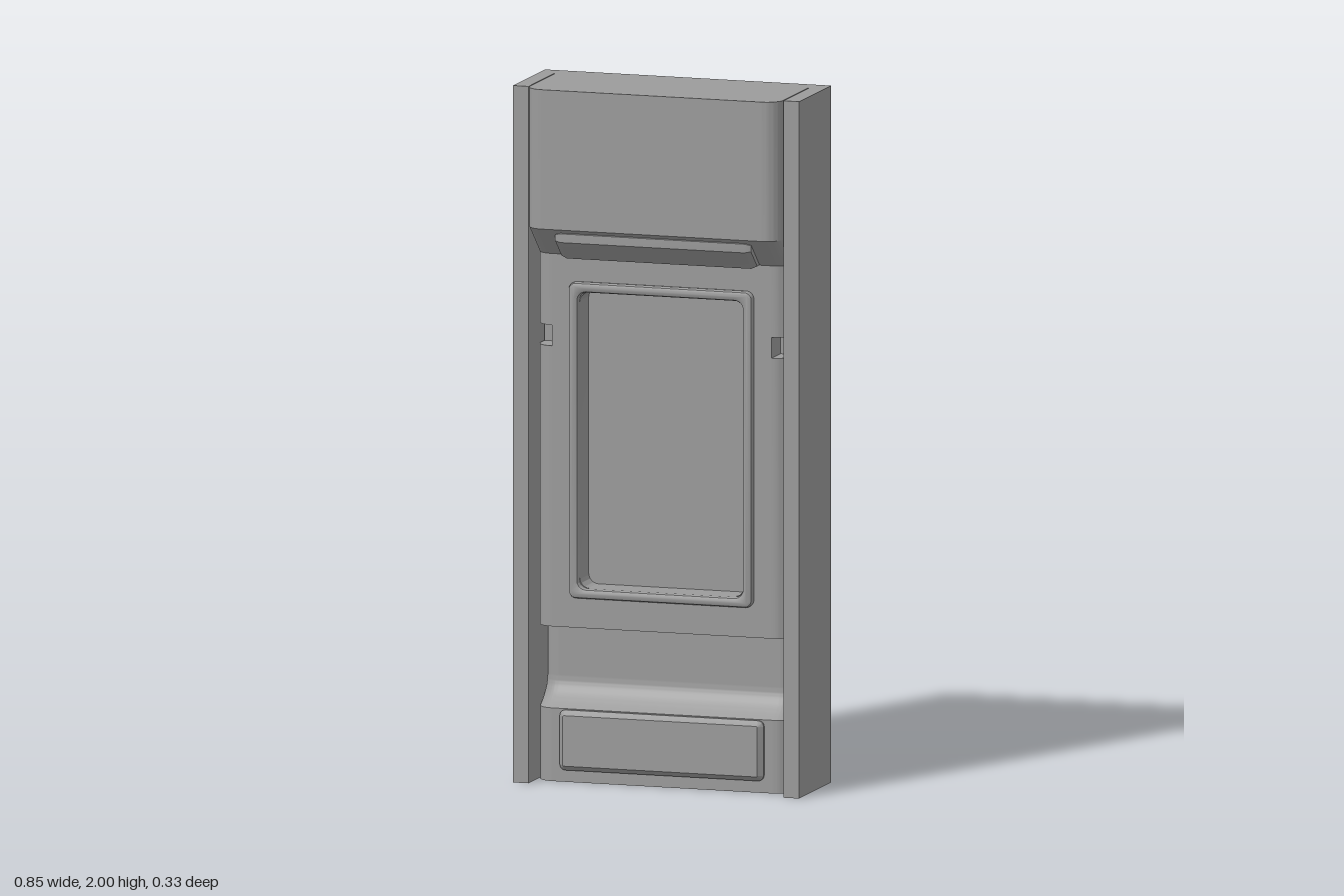
import * as THREE from 'three';
import { toCreasedNormals } from 'three/addons/utils/BufferGeometryUtils.js';

const BACK = -0.108, HALF = 0.378, R = 0.05;
const material = new THREE.MeshStandardMaterial({ color: 0x9b9b9b });

function add(group, name, geometry, x = 0, y = 0, z = 0) {
  const mesh = new THREE.Mesh(toCreasedNormals(geometry, 0.5), material);
  mesh.name = name;
  mesh.position.set(x, y, z);
  group.add(mesh);
}

// Rounded rectangle outline, used for plates, frames and openings
function roundRect(w, h, r, Type = THREE.Shape) {
  const x = w / 2, y = h / 2, p = new Type();
  p.moveTo(-x + r, -y);
  p.lineTo(x - r, -y).absarc(x - r, -y + r, r, -Math.PI / 2, 0);
  p.lineTo(x, y - r).absarc(x - r, y - r, r, 0, Math.PI / 2);
  p.lineTo(-x + r, y).absarc(-x + r, y - r, r, Math.PI / 2, Math.PI);
  p.lineTo(-x, -y + r).absarc(-x + r, -y + r, r, Math.PI, Math.PI * 1.5);
  return p;
}

// Plan outline (x, -z) with the two front corners rounded
function plan(front, r = R) {
  const s = new THREE.Shape();
  s.moveTo(HALF, -BACK);
  s.lineTo(-HALF, -BACK);
  s.lineTo(-HALF, -front + r);
  s.absarc(-HALF + r, -front + r, r, Math.PI, Math.PI * 1.5);
  s.lineTo(HALF - r, -front);
  s.absarc(HALF - r, -front + r, r, -Math.PI / 2, 0);
  return s;
}

// One rounded front corner as a plan outline
function cornerPlan(side, front) {
  const inner = HALF - R, s = new THREE.Shape();
  s.moveTo(side * inner, 0.02);
  s.lineTo(side * inner, -front);
  for (let i = 1; i <= 10; i++) {
    const a = (i / 10) * Math.PI / 2;
    s.lineTo(side * (inner + R * Math.sin(a)), -(front - R + R * Math.cos(a)));
  }
  s.lineTo(side * HALF, 0.02);
  return s;
}

// Raise a plan outline from y0 to y1
function raise(shape, y0, y1, steps = 1) {
  return new THREE.ExtrudeGeometry(shape, { depth: y1 - y0, steps, bevelEnabled: false, curveSegments: 10 })
    .rotateX(-Math.PI / 2).translate(0, y0, 0);
}

// Push the front of a raised plan forward by an amount that depends on height
function pushFront(geometry, fromZ, amount) {
  const p = geometry.attributes.position;
  for (let i = 0; i < p.count; i++) {
    if (p.getZ(i) > fromZ) p.setZ(i, p.getZ(i) + amount(p.getY(i)));
  }
  return geometry;
}

export function createModel() {
  const model = new THREE.Group();
  model.name = 'cabinet';

  // Outer casing
  add(model, 'backSlab', new THREE.BoxGeometry(0.854, 2, 0.055), 0, 1, -0.1355);
  for (const side of [-1, 1]) {
    add(model, side > 0 ? 'leftWall' : 'rightWall', new THREE.BoxGeometry(0.0465, 2, 0.285), side * 0.40375, 1, -0.0205);
  }

  // Lower body: recessed band flaring out to the kick panel, with a lip at its top
  add(model, 'lowerBody', pushFront(raise(plan(0), 0, 0.445, 89), -0.06, (y) => {
    const flare = THREE.MathUtils.clamp((0.29 - y) / 0.08, 0, 1);
    const lip = THREE.MathUtils.clamp((y - 0.436) / 0.009, 0, 1);
    return 0.065 * flare * flare + 0.07 * lip;
  }));
  const kick = new THREE.ExtrudeGeometry(roundRect(0.58, 0.145, 0.003),
    { depth: 0.01, bevelThickness: 0.015, bevelSize: 0.014, bevelSegments: 1 });
  add(model, 'kickPanel', kick, 0, 0.121, 0.062);

  // Middle body: rear block that forms the recessed floor
  add(model, 'recessFloor', raise(plan(-0.01, 0.002), 0.445, 1.53));

  // Front plate with a rounded opening
  const midY = 0.985;
  const plate = new THREE.Shape();
  const x = HALF - R, y0 = 0.445 - midY, y1 = 1.53 - midY;
  plate.moveTo(-x, y0).lineTo(x, y0).lineTo(x, y1).lineTo(-x, y1);
  plate.holes.push(roundRect(0.49, 0.85, 0.03, THREE.Path));
  add(model, 'frontPlate', new THREE.ExtrudeGeometry(plate, { depth: 0.085, bevelEnabled: false }), 0, midY, -0.015);

  // Bevelled rim around the opening
  const rim = roundRect(0.528, 0.886, 0.012);
  rim.holes.push(roundRect(0.512, 0.872, 0.035, THREE.Path));
  add(model, 'openingRim', new THREE.ExtrudeGeometry(rim,
    { depth: 0.01, bevelThickness: 0.012, bevelSize: 0.011, bevelSegments: 2 }), 0, midY, 0.068);

  // Rounded plate edges, interrupted by a small notch on each side
  for (const side of [-1, 1]) {
    add(model, 'lowerPlateEdge', raise(cornerPlan(side, 0.07), 0.445, 1.25));
    add(model, 'upperPlateEdge', raise(cornerPlan(side, 0.07), 1.31, 1.53));
  }

  // Hood and the sloping underside that tapers back to the plate
  add(model, 'hood', raise(plan(0.163), 1.6, 2));
  add(model, 'hoodUnderside', pushFront(raise(plan(0.07), 1.515, 1.6), 0, (y) => 0.093 * (y - 1.515) / 0.085));

  // Bar below the hood, following its slope
  const bar = new THREE.Shape();
  bar.moveTo(-0.05, 1.54).lineTo(-0.05, 1.522).lineTo(-0.092, 1.515).lineTo(-0.148, 1.566)
    .lineTo(-0.148, 1.583).lineTo(-0.13, 1.59);
  const barGeometry = new THREE.ExtrudeGeometry(bar,
    { depth: 0.55, bevelThickness: 0.017, bevelSize: 0.007, bevelSegments: 1 });
  add(model, 'hoodBar', barGeometry.rotateY(Math.PI / 2), -0.275, 0, 0);

  return model;
}
